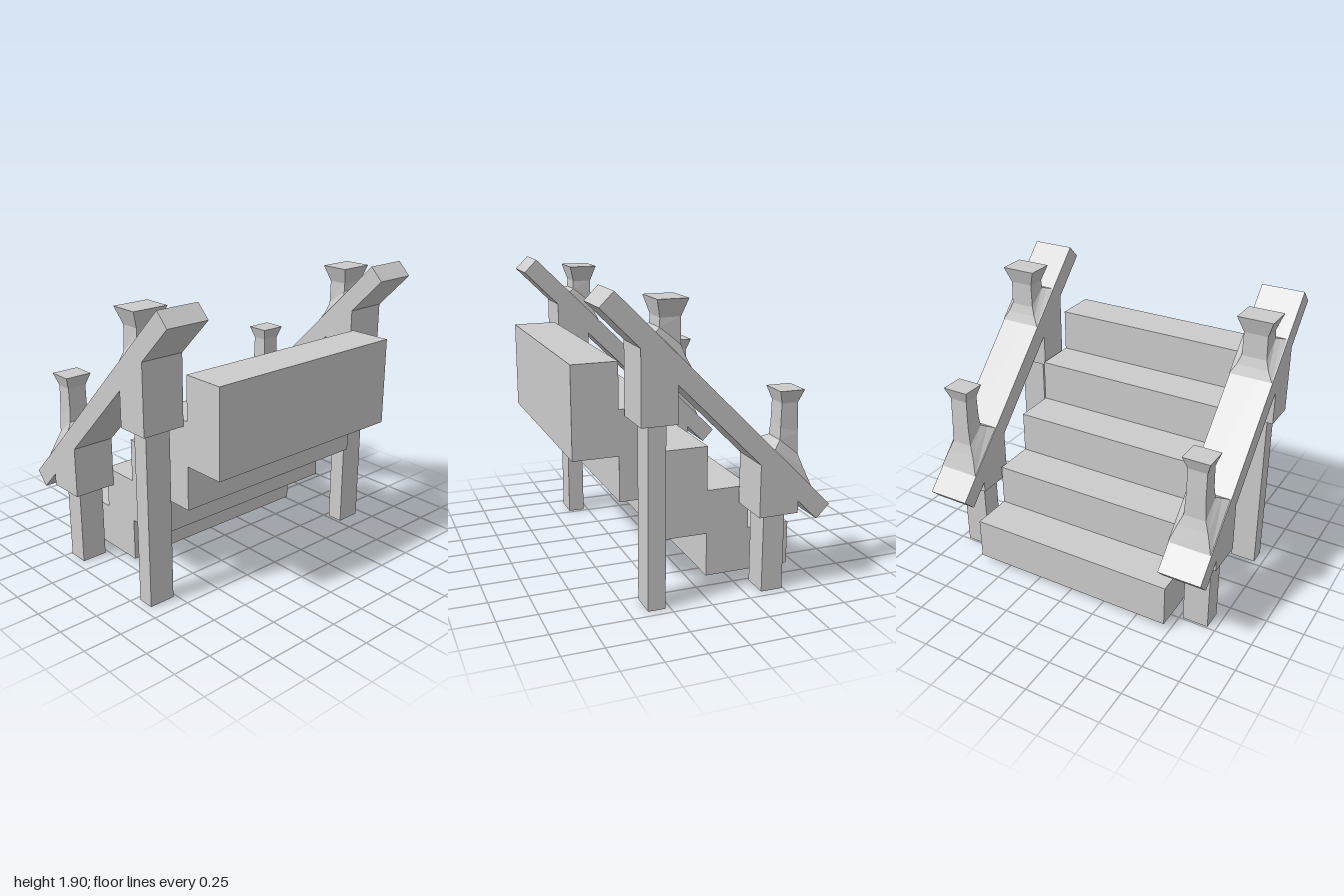
import * as THREE from 'three';

const material = new THREE.MeshStandardMaterial({ color: 0xcccccc, flatShading: true });
const openMaterial = new THREE.MeshStandardMaterial({ color: 0xcccccc, flatShading: true, side: THREE.DoubleSide });

function addMesh(parent, name, geometry, mat = material) {
  const mesh = new THREE.Mesh(geometry, mat);
  mesh.name = name;
  parent.add(mesh);
  return mesh;
}

// Side profile in x/y, extruded from z0 to z1
function slab(points, z0, z1) {
  const shape = new THREE.Shape(points.map(([x, y]) => new THREE.Vector2(x, y)));
  return new THREE.ExtrudeGeometry(shape, { depth: z1 - z0, bevelEnabled: false }).translate(0, 0, z0);
}

// Four-sided loft; each ring is [left x, left y, right x, right y, half depth]
function loft(rings) {
  const positions = [];
  const index = [];
  for (const [xl, yl, xr, yr, d] of rings) {
    positions.push(xl, yl, d, xr, yr, d, xr, yr, -d, xl, yl, -d);
  }
  for (let i = 0; i < rings.length - 1; i++) {
    for (let k = 0; k < 4; k++) {
      const a = i * 4 + k, b = i * 4 + (k + 1) % 4;
      index.push(a, b, b + 4, a, b + 4, a + 4);
    }
  }
  const t = (rings.length - 1) * 4;
  index.push(t, t + 1, t + 2, t, t + 2, t + 3);
  const geometry = new THREE.BufferGeometry();
  geometry.setAttribute('position', new THREE.Float32BufferAttribute(positions, 3));
  geometry.setIndex(index);
  geometry.computeVertexNormals();
  return geometry;
}

// Square tube without end caps
function openLeg(x0, x1, height, depth) {
  return new THREE.CylinderGeometry(Math.SQRT1_2, Math.SQRT1_2, 1, 4, 1, true)
    .rotateY(Math.PI / 4)
    .scale(x1 - x0, height, depth)
    .translate((x0 + x1) / 2, height / 2, 0);
}

const RAIL_HALF = 0.141;
const railUnder = (x) => x + 1.135;

const POSTS = [
  {
    name: 'lower', leg: [-0.49, -0.35], block: [-0.55, -0.295], base: 0.51,
    rings: [
      [-0.63, 0.675, -0.38, 0.925, 0.14],
      [-0.59, 0.79, -0.415, 0.942, 0.1],
      [-0.57, 0.86, -0.447, 0.96, 0.072],
      [-0.568, 1.0, -0.452, 1.03, 0.064],
      [-0.562, 1.18, -0.456, 1.18, 0.063],
      [-0.59, 1.26, -0.43, 1.26, 0.09],
    ],
  },
  {
    name: 'upper', leg: [0.28, 0.39], block: [0.23, 0.45], base: 1.14,
    rings: [
      [0.155, 1.46, 0.365, 1.67, 0.14],
      [0.178, 1.52, 0.34, 1.675, 0.105],
      [0.195, 1.58, 0.322, 1.683, 0.082],
      [0.195, 1.735, 0.319, 1.735, 0.078],
      [0.163, 1.84, 0.349, 1.84, 0.117],
    ],
  },
];

export function createModel() {
  const model = new THREE.Group();
  model.name = 'staircase';

  // Five overlapping solid steps climbing toward +x
  const run = 0.2825, rise = 0.283, x0 = -0.65, y0 = 0.045;
  const outline = [];
  for (let i = 0; i < 5; i++) {
    outline.push([x0 + i * run, y0 + i * rise], [x0 + i * run, y0 + (i + 1) * rise]);
  }
  outline.push([x0 + 5 * run, y0 + 5 * rise]);
  for (let i = 3; i >= 0; i--) {
    outline.push([x0 + (i + 2) * run, y0 + i * rise]);
    if (i > 0) outline.push([x0 + (i + 1) * run, y0 + i * rise]);
  }
  addMesh(model, 'steps', slab(outline.reverse(), -0.705, 0.715));

  // A handrail with two posts on each side
  for (const [name, z] of [['front', 0.859], ['back', -0.859]]) {
    const side = new THREE.Group();
    side.name = name + 'Railing';
    side.position.z = z;
    model.add(side);

    addMesh(side, 'handrail', slab(
      [[-0.765, 0.54], [-0.68, 0.455], [0.68, 1.815], [0.595, 1.9]], -RAIL_HALF, RAIL_HALF));

    for (const { name: level, leg, block: [l, r], base, rings } of POSTS) {
      addMesh(side, level + 'Leg', openLeg(leg[0], leg[1], base, 0.172), openMaterial);
      addMesh(side, level + 'Block', slab(
        [[l, base], [r, base], [r, railUnder(r)], [l, railUnder(l)]], -RAIL_HALF, RAIL_HALF));
      // Flared newel rising from the sloping rail
      addMesh(side, level + 'Newel', loft(rings)).position.z = -0.005;
    }
  }
  return model;
}
